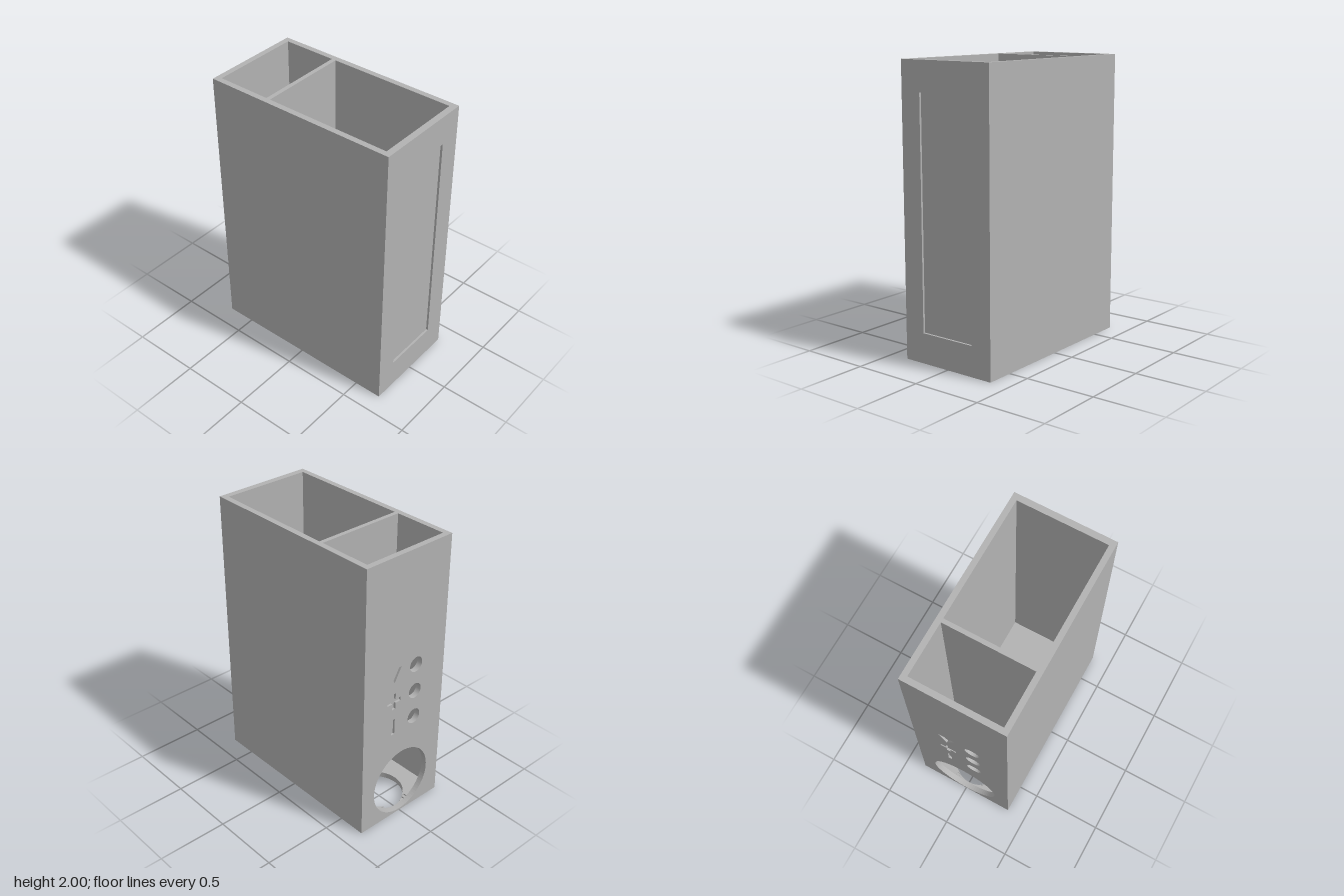
import * as THREE from 'three';

const W = 0.36, D = 0.7, H = 2;          // half width, half depth, height
const IX = 0.32, ZB = -0.66, ZF = 0.655; // inner faces of the walls
const FLOOR = 0.04, RECESS = 0.015;
const PORT = { y: 0.264, r: 0.25 };      // round opening in the back wall
const DRAIN = { z: -0.467, r: 0.19 };    // round opening in the floor
const ROWS = [0.755, 0.957, 1.16];       // button heights

export function createModel() {
  const group = new THREE.Group();
  const grey = new THREE.MeshStandardMaterial({ color: 0xb2b2b2 });
  grey.name = 'grey plastic';

  const add = (name, geometry) => {
    const mesh = new THREE.Mesh(geometry, grey);
    mesh.name = name;
    group.add(mesh);
  };
  const box = (name, x0, x1, y0, y1, z0, z1) =>
    add(name, new THREE.BoxGeometry(x1 - x0, y1 - y0, z1 - z0)
      .translate((x0 + x1) / 2, (y0 + y1) / 2, (z0 + z1) / 2));

  const poly = (pts) => new THREE.Shape(pts.map(([x, y]) => new THREE.Vector2(x, y)));
  const rect = (x0, x1, y0, y1) => poly([[x0, y0], [x1, y0], [x1, y1], [x0, y1]]);
  const circle = (x, y, r) => new THREE.Shape().absarc(x, y, r, 0, Math.PI * 2, false);
  const extrude = (shape, depth) =>
    new THREE.ExtrudeGeometry(shape, { depth, bevelEnabled: false, curveSegments: 40 });

  // Upright plate pierced by holes
  const wall = (name, holes, z0, z1) => {
    const shape = rect(-W, W, 0, H);
    shape.holes.push(...holes);
    add(name, extrude(shape, z1 - z0).translate(0, 0, z0));
  };
  // Horizontal plate drawn in x and z
  const slab = (name, shape, y0, y1) =>
    add(name, extrude(shape, y1 - y0).rotateX(Math.PI / 2).translate(0, y1, 0));

  // Front wall with a shallow recessed panel
  wall('frontWallFace', [rect(-0.207, 0.207, 0.21, 1.795)], D - RECESS, D);
  wall('frontWallCore', [], ZF, D - RECESS);

  // Back wall: through holes plus engraved symbols in the outer layer
  const through = () => [circle(0, PORT.y, PORT.r), ...ROWS.map((y) => circle(-0.097, y, 0.055))];
  const sx = 0.094, a = 0.06, t = 0.014;
  const minus = rect(sx - t, sx + t, ROWS[0] - a, ROWS[0] + a);
  const plus = poly([
    [-a, -t], [-t, -t], [-t, -a], [t, -a], [t, -t], [a, -t],
    [a, t], [t, t], [t, a], [-t, a], [-t, t], [-a, t],
  ].map(([x, y]) => [sx + x, ROWS[1] + y]));
  const triangle = poly([[sx, 1.1], [sx + 0.058, 1.205], [sx - 0.058, 1.205]]);
  wall('backWallFace', [...through(), minus, plus, triangle], -D, -D + RECESS);
  wall('backWallCore', through(), -D + RECESS, ZB);

  // Side walls and divider
  for (const [name, x0, x1] of [['leftWall', IX, W], ['rightWall', -W, -IX]]) {
    box(name, x0, x1, 0, H, ZB, ZF);
  }
  box('divider', -IX, IX, FLOOR, H, -0.275, -0.245);

  // Floor base with its round opening
  const yBase = PORT.y - PORT.r;
  const base = rect(-IX, IX, ZB, ZF);
  base.holes.push(circle(0, DRAIN.z, DRAIN.r));
  slab('floorBase', base, 0, yBase);

  // Upper floor layers, grooved where the back opening cuts into them
  const grooveZ = -0.635;
  const meet = Math.sqrt(DRAIN.r ** 2 - (grooveZ - DRAIN.z) ** 2);
  const levels = [yBase, 0.02, 0.03, FLOOR];
  for (let i = 1; i < levels.length; i++) {
    const w = Math.sqrt(PORT.r ** 2 - (PORT.y - levels[i]) ** 2);
    const xc = Math.min(w, meet);
    const s = Math.sqrt(DRAIN.r ** 2 - xc ** 2);
    const shape = new THREE.Shape();
    shape.moveTo(-IX, ZB);
    shape.lineTo(-w, ZB);
    if (w > meet) shape.lineTo(-w, grooveZ);
    shape.absarc(0, DRAIN.z, DRAIN.r, Math.atan2(-s, -xc), Math.atan2(-s, xc), true);
    if (w > meet) shape.lineTo(w, grooveZ);
    shape.lineTo(w, ZB);
    shape.lineTo(IX, ZB);
    shape.lineTo(IX, ZF);
    shape.lineTo(-IX, ZF);
    slab('floorLayer' + i, shape, levels[i - 1], levels[i]);
  }

  return group;
}
